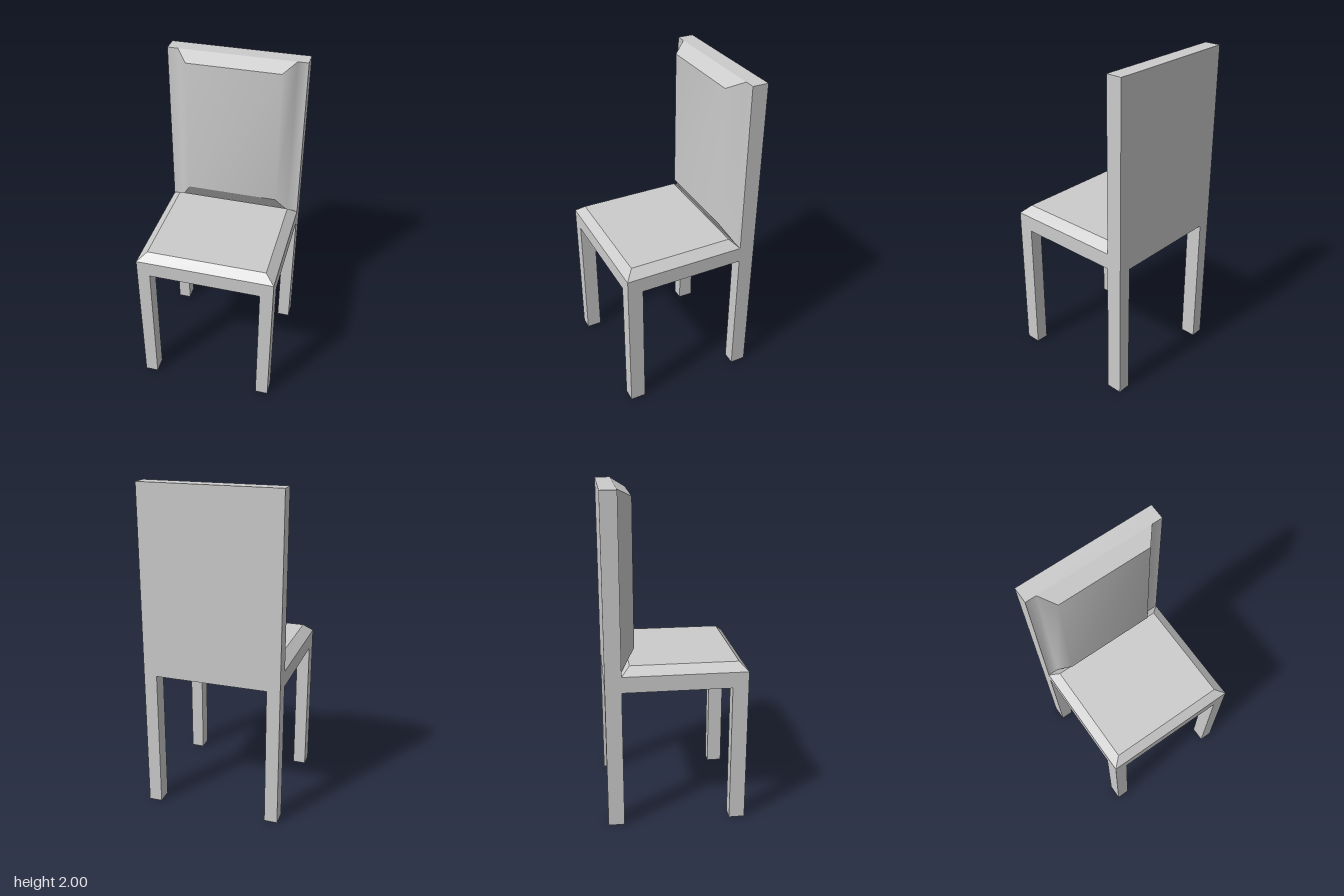
import * as THREE from 'three';

const material = new THREE.MeshStandardMaterial({ color: 0xcccccc });

const W = 0.42;            // half width and half depth
const UNDER = 0.86;        // underside of the seat
const RIM = 0.957;         // top of the seat's straight sides
const TOP = 2;
const BACK_FRONT = -0.323; // front plane of the backrest

function add(parent, name, geometry) {
  const mesh = new THREE.Mesh(geometry, material);
  mesh.name = name;
  parent.add(mesh);
  return mesh;
}

// Box given by its lowest and highest corners
function block([x0, y0, z0], [x1, y1, z1]) {
  return new THREE.BoxGeometry(x1 - x0, y1 - y0, z1 - z0)
    .translate((x0 + x1) / 2, (y0 + y1) / 2, (z0 + z1) / 2);
}

// Flat-shaded quads, corners counter-clockwise from outside
function quads(list) {
  const points = [];
  for (const [a, b, c, d] of list) points.push(...a, ...b, ...c, ...a, ...c, ...d);
  const geometry = new THREE.BufferGeometry();
  geometry.setAttribute('position', new THREE.Float32BufferAttribute(points, 3));
  geometry.computeVertexNormals();
  return geometry;
}

// Seat top: a flat panel with four sloping borders
function seatTopGeometry() {
  const ring = (x, y, z0, z1) => [[-x, y, z1], [x, y, z1], [x, y, z0], [-x, y, z0]];
  const low = ring(W, RIM, BACK_FRONT, W);
  const high = ring(0.363, 1.005, -0.273, 0.37);
  const faces = [high];
  for (let i = 0; i < 4; i++) {
    const j = (i + 1) % 4;
    faces.push([low[i], low[j], high[j], high[i]]);
  }
  return quads(faces);
}

// Padded front of the backrest, smooth across its width: [x, bottom, top, z]
const padColumns = [
  [-W, RIM, TOP, BACK_FRONT],
  [-0.355, RIM, TOP, BACK_FRONT],
  [-0.285, 1.087, 1.953, -0.238],
  [0.285, 1.087, 1.953, -0.238],
  [0.355, RIM, TOP, BACK_FRONT],
  [W, RIM, TOP, BACK_FRONT],
];

function padFrontGeometry() {
  const points = [], index = [];
  padColumns.forEach(([x, bottom, top, z], i) => {
    points.push(x, bottom, z, x, top, z);
    if (i) {
      const a = 2 * i - 2;
      index.push(a, a + 2, a + 3, a, a + 3, a + 1);
    }
  });
  const geometry = new THREE.BufferGeometry();
  geometry.setAttribute('position', new THREE.Float32BufferAttribute(points, 3));
  geometry.setIndex(index);
  geometry.computeVertexNormals();
  return geometry;
}

// Sloping upper and lower borders of the pad
function padBevelGeometry() {
  const inner = padColumns.slice(1, 5);
  const upper = inner.map(([x, , top, z]) => [x, top, z]);
  const lower = inner.map(([x, bottom, , z]) => [x, bottom, z]);
  return quads([
    [upper[1], upper[2], upper[3], upper[0]],
    [lower[0], lower[3], lower[2], lower[1]],
  ]);
}

export function createModel() {
  const chair = new THREE.Group();
  chair.name = 'chair';

  // Seat
  const seat = new THREE.Group();
  seat.name = 'seat';
  chair.add(seat);
  add(seat, 'seatFrame', block([-W, UNDER, BACK_FRONT], [W, RIM, W]));
  add(seat, 'seatTop', seatTopGeometry());

  // Backrest, its slab left open where the pad closes it
  const backrest = new THREE.Group();
  backrest.name = 'backrest';
  chair.add(backrest);
  const slab = block([-W, UNDER, -W], [W, TOP, BACK_FRONT]);
  const faces = Array.from(slab.index.array);
  faces.splice(24, 6);
  slab.setIndex(faces);
  slab.clearGroups();
  add(backrest, 'backSlab', slab);
  add(backrest, 'backPad', padFrontGeometry());
  add(backrest, 'backPadBevels', padBevelGeometry());

  // Legs
  for (const [side, x] of [['Left', 0.34], ['Right', -W]]) {
    add(chair, `front${side}Leg`, block([x, 0, 0.325], [x + 0.08, UNDER, W]));
    add(chair, `back${side}Leg`, block([x, 0, -W], [x + 0.08, UNDER, BACK_FRONT]));
  }

  return chair;
}
